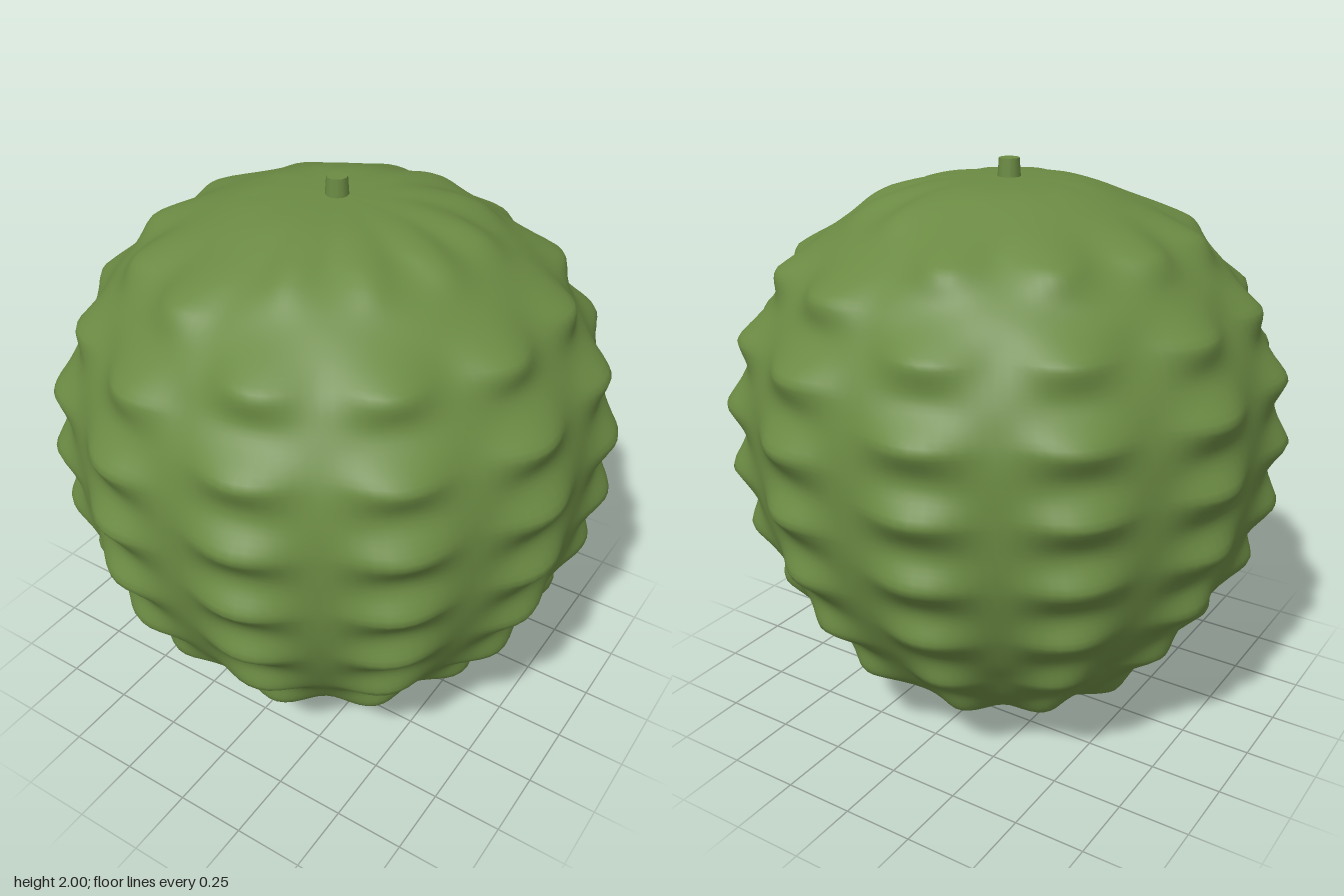
import * as THREE from 'three';
import { mergeVertices } from 'three/addons/utils/BufferGeometryUtils.js';

const PROFILE = [
  [0, 0], [0.2, 0.02], [0.36, 0.09], [0.5, 0.18], [0.62, 0.29], [0.71, 0.42],
  [0.78, 0.52], [0.84, 0.64], [0.88, 0.75], [0.91, 0.86], [0.925, 0.97],
  [0.932, 1.12], [0.925, 1.25], [0.9, 1.36], [0.865, 1.45], [0.8, 1.56],
  [0.73, 1.66], [0.6, 1.77], [0.45, 1.855], [0.25, 1.925], [0, 1.94],
];
const ROW = 0.228; // vertical distance between bumps on one rib
const BUMP = 0.062;

// Bump height: twelve ribs around, rows up the side, staggered on the right half
function bump(angle, y, rightHalf) {
  const rib = Math.sin(6 * angle) ** 2;
  const phase = Math.PI * ((y - 0.975) / ROW + (rightHalf ? 0.5 : 0));
  const row = 0.5 * Math.cos(phase) ** 2 + 0.5 * (1 - Math.abs(Math.sin(phase)));
  return BUMP * rib * row;
}

function rindGeometry() {
  const curve = new THREE.SplineCurve(PROFILE.map(([r, y]) => new THREE.Vector2(r, y)));
  const points = curve.getSpacedPoints(150);
  points[0].x = points[150].x = 0;
  let geo = new THREE.LatheGeometry(points, 144);
  const pos = geo.attributes.position;
  for (let i = 0; i < pos.count; i++) {
    const x = pos.getX(i), y = pos.getY(i), z = pos.getZ(i);
    const r = Math.hypot(x, z);
    if (r < 1e-5) continue;
    const fade = Math.min(1, r / 0.45);
    const k = 1 + (fade * bump(Math.atan2(z, x), y, x < 0)) / r;
    pos.setXYZ(i, x * k, y, z * k);
  }
  // Weld the seam and poles so the shading is smooth all round
  geo.deleteAttribute('uv');
  geo.deleteAttribute('normal');
  geo = mergeVertices(geo, 1e-5);
  geo.computeVertexNormals();
  return geo;
}

export function createModel() {
  const group = new THREE.Group();
  group.name = 'spikyFruit';
  const green = new THREE.MeshStandardMaterial({ color: 0x6b8a43 });
  green.name = 'rindGreen';

  const rind = new THREE.Mesh(rindGeometry(), green);
  rind.name = 'rind';
  group.add(rind);

  // Short stalk on the crown
  const stem = new THREE.Mesh(new THREE.CylinderGeometry(0.035, 0.042, 0.1, 12), green);
  stem.name = 'stem';
  stem.position.y = 1.95;
  group.add(stem);

  return group;
}
